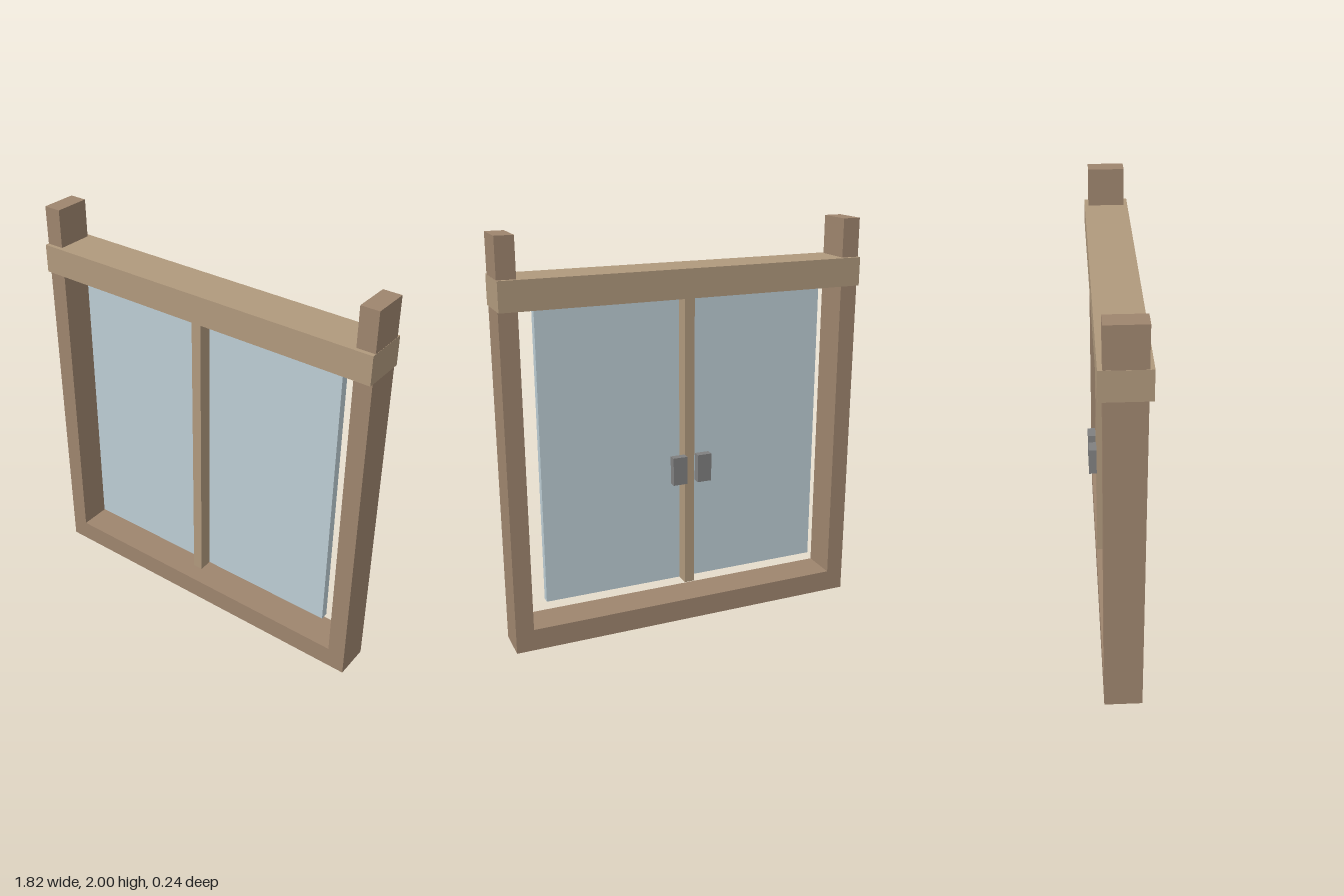
import * as THREE from 'three';

const paint = (color) => new THREE.MeshStandardMaterial({ color });

export function createModel() {
  const model = new THREE.Group();
  const frameWood = paint(0x9e856e);
  const trimWood = paint(0xb0997d);
  const glass = paint(0xbccdd4);
  const metal = paint(0x808080);

  // Box given by its extents along each axis
  const box = (name, material, [x0, x1], [y0, y1], [z0, z1]) => {
    const mesh = new THREE.Mesh(new THREE.BoxGeometry(x1 - x0, y1 - y0, z1 - z0), material);
    mesh.position.set((x0 + x1) / 2, (y0 + y1) / 2, (z0 + z1) / 2);
    mesh.name = name;
    model.add(mesh);
  };
  // Mirrored extents across x = 0
  const side = (s, a, b) => (s > 0 ? [a, b] : [-b, -a]);

  const frameDepth = [-0.08, 0.1];

  // Bottom rail, top beam and centre mullion
  box('bottomRail', frameWood, [-0.818, 0.818], [0, 0.11], frameDepth);
  box('topBeam', trimWood, [-0.908, 0.908], [1.67, 1.81], [-0.1, 0.12]);
  box('mullion', trimWood, [-0.025, 0.025], [0.21, 1.68], frameDepth);

  // Posts, panes and pull handles, one of each per side
  for (const [s, label] of [[1, 'left'], [-1, 'right']]) {
    box(label + 'Post', frameWood, side(s, 0.818, 0.907), [0, 2], frameDepth);
    box(label + 'Pane', glass, side(s, 0, 0.73), [0.21, 1.68], [-0.01, 0.03]);
    box(label + 'Handle', metal, side(s, 0.028, 0.1), [0.76, 0.9], [-0.118, -0.08]);
  }
  return model;
}
